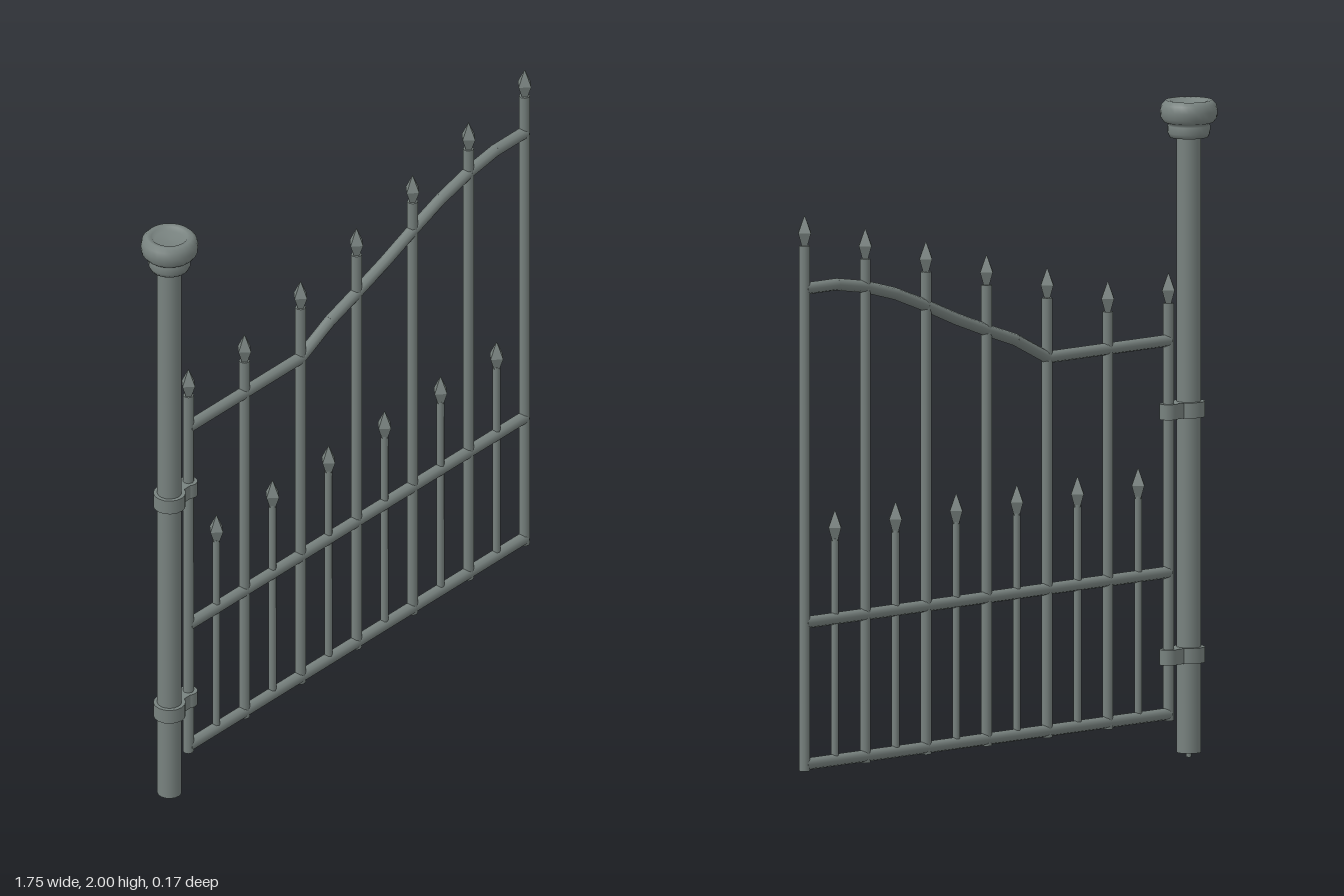
import * as THREE from 'three';

const iron = new THREE.MeshStandardMaterial({ color: 0x78827f });
iron.name = 'weathered iron';

export function createModel() {
  const group = new THREE.Group();
  group.name = 'ironGate';
  const POST_X = -0.787, HINGE_X = -0.7, END_X = 0.845;
  const STEP = (END_X - HINGE_X) / 6;

  const add = (name, geometry, x = 0, y = 0, z = 0, parent = group) => {
    const mesh = new THREE.Mesh(geometry, iron);
    mesh.name = name;
    mesh.position.set(x, y, z);
    parent.add(mesh);
    return mesh;
  };

  // Upright round rod between two heights
  const upright = (name, x, y0, y1, r, sides = 8) =>
    add(name, new THREE.CylinderGeometry(r, r, y1 - y0, sides), x, (y0 + y1) / 2);

  // Four-sided spear head, corners on the x and z axes
  const spear = new THREE.LatheGeometry(
    [[0, 0], [0.011, 0], [0.027, 0.043], [0.012, 0.073], [0, 0.096]].map(p => new THREE.Vector2(...p)), 4
  ).toNonIndexed();
  spear.computeVertexNormals();

  // Horizontal or sloping rod through a list of points
  const rail = (name, points, r) => {
    const part = new THREE.Group();
    part.name = name;
    group.add(part);
    for (let i = 0; i < points.length - 1; i++) {
      const a = new THREE.Vector2(...points[i]), b = new THREE.Vector2(...points[i + 1]);
      const d = b.clone().sub(a);
      const rod = add(name + 'Segment', new THREE.CylinderGeometry(r, r, d.length() + 0.004, 8),
        (a.x + b.x) / 2, (a.y + b.y) / 2, 0, part);
      rod.rotation.z = Math.atan2(d.y, d.x) - Math.PI / 2;
    }
  };

  // Post with turned, dished cap and a small foot pin
  upright('post', POST_X, 0.015, 1.9, 0.037, 16);
  upright('footPin', POST_X, 0, 0.02, 0.008);
  const cap = [[0.03, 1.887], [0.058, 1.887], [0.064, 1.9], [0.065, 1.922], [0.06, 1.928],
    [0.075, 1.933], [0.085, 1.946], [0.087, 1.967], [0.083, 1.987], [0.07, 2],
    [0.055, 1.997], [0.046, 1.986], [0, 1.984]];
  add('postCap', new THREE.LatheGeometry(cap.map(p => new THREE.Vector2(...p)), 24), POST_X);

  // Tall bars stepping up away from the post
  const tops = [1.39, 1.39, 1.457, 1.522, 1.588, 1.653, 1.718];
  tops.forEach((top, i) => {
    const x = HINGE_X + i * STEP;
    upright('tallBar', x, 0.12, top, 0.0165);
    add('tallSpear', spear, x, top - 0.003);
  });

  // Short pickets between them
  for (let i = 0; i < 6; i++) {
    const x = HINGE_X + (i + 0.5) * STEP;
    upright('picket', x, 0.14, 0.815, 0.0115);
    add('picketSpear', spear, x, 0.806);
  }

  // Rails
  rail('bottomRail', [[HINGE_X, 0.14], [END_X, 0.14]], 0.0185);
  rail('middleRail', [[HINGE_X, 0.571], [END_X, 0.571]], 0.0185);
  rail('topRail', [[HINGE_X, 1.276], [-0.185, 1.276], [-0.05, 1.343], [0.073, 1.385], [0.2, 1.431],
    [0.33, 1.485], [0.46, 1.534], [0.588, 1.568], [0.71, 1.587], [END_X, 1.587]], 0.0185);

  // Hinge clamps: a collar on the post, one on the gate, and a link
  for (const y of [0.313, 1.06]) {
    const clamp = new THREE.Group();
    clamp.name = 'hingeClamp';
    group.add(clamp);
    add('postCollar', new THREE.CylinderGeometry(0.049, 0.049, 0.047, 16), POST_X, y, 0, clamp);
    add('gateCollar', new THREE.CylinderGeometry(0.028, 0.028, 0.047, 12), HINGE_X, y, 0, clamp);
    add('hingeLink', new THREE.BoxGeometry(HINGE_X - POST_X, 0.047, 0.044), (POST_X + HINGE_X) / 2, y, 0, clamp);
  }
  return group;
}
